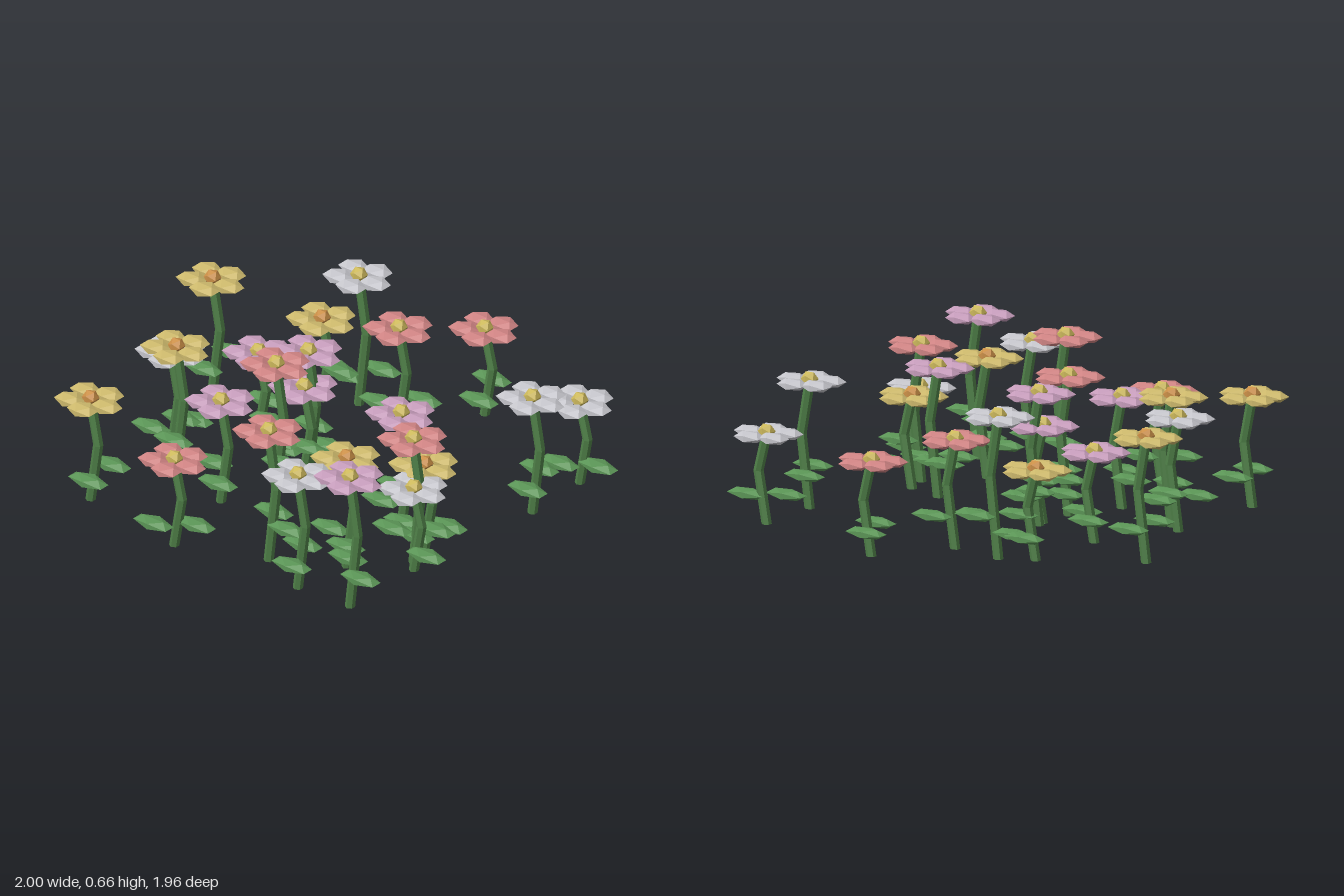
import * as THREE from 'three';

const PALETTE = {
  pink: 0xd08484, yellow: 0xcdb96c, lilac: 0xc79dbc, white: 0xc6c6cc,
  stem: 0x4f8048, leaf: 0x5a9455, gold: 0xcdb95c, orange: 0xcc9048,
};

// x, z, height, petal colour, directions of the two leaves in degrees (0 = +x, 90 = +z)
const FLOWERS = [
  [0.13, -0.85, 0.41, 'pink', 245, 68],
  [0.81, -0.665, 0.39, 'white', 0, 120],
  [0.82, -0.345, 0.55, 'white', 65, 245],
  [-0.33, -0.575, 0.615, 'white', -25, 120],
  [-0.47, -0.50, 0.39, 'yellow', 262, -50],
  [-0.08, -0.54, 0.47, 'pink', -30, 120],
  [-0.87, -0.26, 0.54, 'yellow', -78, 78],
  [-0.49, -0.11, 0.39, 'lilac', 247, 25],
  [-0.13, -0.01, 0.57, 'lilac', 240, 60],
  [-0.12, 0.03, 0.42, 'lilac', 145, -60],
  [-0.13, 0.20, 0.60, 'pink', 40, 235],
  [-0.24, 0.43, 0.48, 'lilac', 207, 60],
  [-0.665, 0.25, 0.49, 'white', 120, -60],
  [-0.59, 0.305, 0.56, 'yellow', 60, 240],
  [-0.67, 0.77, 0.48, 'yellow', -70, 58],
  [-0.15, 0.84, 0.41, 'pink', -16, 125],
  [0.235, 0.68, 0.62, 'pink', 0, 240],
  [0.48, 0.78, 0.54, 'white', 239, 68],
  [0.75, 0.76, 0.62, 'lilac', 25, 222],
  [0.52, 0.51, 0.52, 'yellow', 180, 55],
  [0.495, 0.125, 0.56, 'lilac', 215, 120],
  [0.67, 0.18, 0.40, 'yellow', -30, 150],
  [0.71, 0.30, 0.59, 'pink', -20, 130],
  [0.755, 0.35, 0.39, 'white', 20, 230],
];

const materials = {};
for (const key in PALETTE) {
  materials[key] = new THREE.MeshStandardMaterial({ color: PALETTE[key], flatShading: true });
}

const blob = new THREE.IcosahedronGeometry(1, 0);

// Faceted lump, flattened and stretched by its size
function addBlob(parent, name, material, position, size) {
  const mesh = new THREE.Mesh(blob, materials[material]);
  mesh.name = name;
  mesh.position.set(...position);
  mesh.scale.set(...size);
  parent.add(mesh);
}

// Six-sided stem with a sideways kink above its middle
function stemGeometry(height) {
  const geometry = new THREE.CylinderGeometry(0.022, 0.022, height, 6, 2);
  geometry.translate(0, height / 2, 0);
  const p = geometry.attributes.position;
  for (let i = 0; i < p.count; i++) {
    const t = p.getY(i) / height;
    if (t > 0.4 && t < 0.6) {
      p.setY(i, height * 0.58);
      p.setX(i, p.getX(i) + 0.042);
    }
  }
  return geometry;
}

function createFlower(x, z, height, colour, ...leafAngles) {
  const flower = new THREE.Group();
  flower.name = 'flower';
  flower.position.set(x, 0, z);

  const stem = new THREE.Mesh(stemGeometry(height), materials.stem);
  stem.name = 'stem';
  flower.add(stem);

  // Two flat leaves low on the stem
  for (const degrees of leafAngles) {
    const a = THREE.MathUtils.degToRad(degrees);
    addBlob(flower, 'leaf', 'leaf',
      [0.005 + Math.cos(a) * 0.095, height * 0.3, Math.sin(a) * 0.095], [0.105, 0.025, 0.05]);
  }

  // Ring of five petals around the centre
  for (let i = 0; i < 5; i++) {
    const a = (i / 5) * Math.PI * 2;
    addBlob(flower, 'petal', colour,
      [Math.cos(a) * 0.088, height, Math.sin(a) * 0.088], [0.073, 0.025, 0.058]);
  }
  addBlob(flower, 'flowerCentre', colour === 'yellow' ? 'orange' : 'gold',
    [0, height + 0.012, 0], [0.038, 0.035, 0.038]);
  return flower;
}

export function createModel() {
  const model = new THREE.Group();
  model.name = 'flowerPatch';
  for (const spec of FLOWERS) model.add(createFlower(...spec));
  return model;
}
